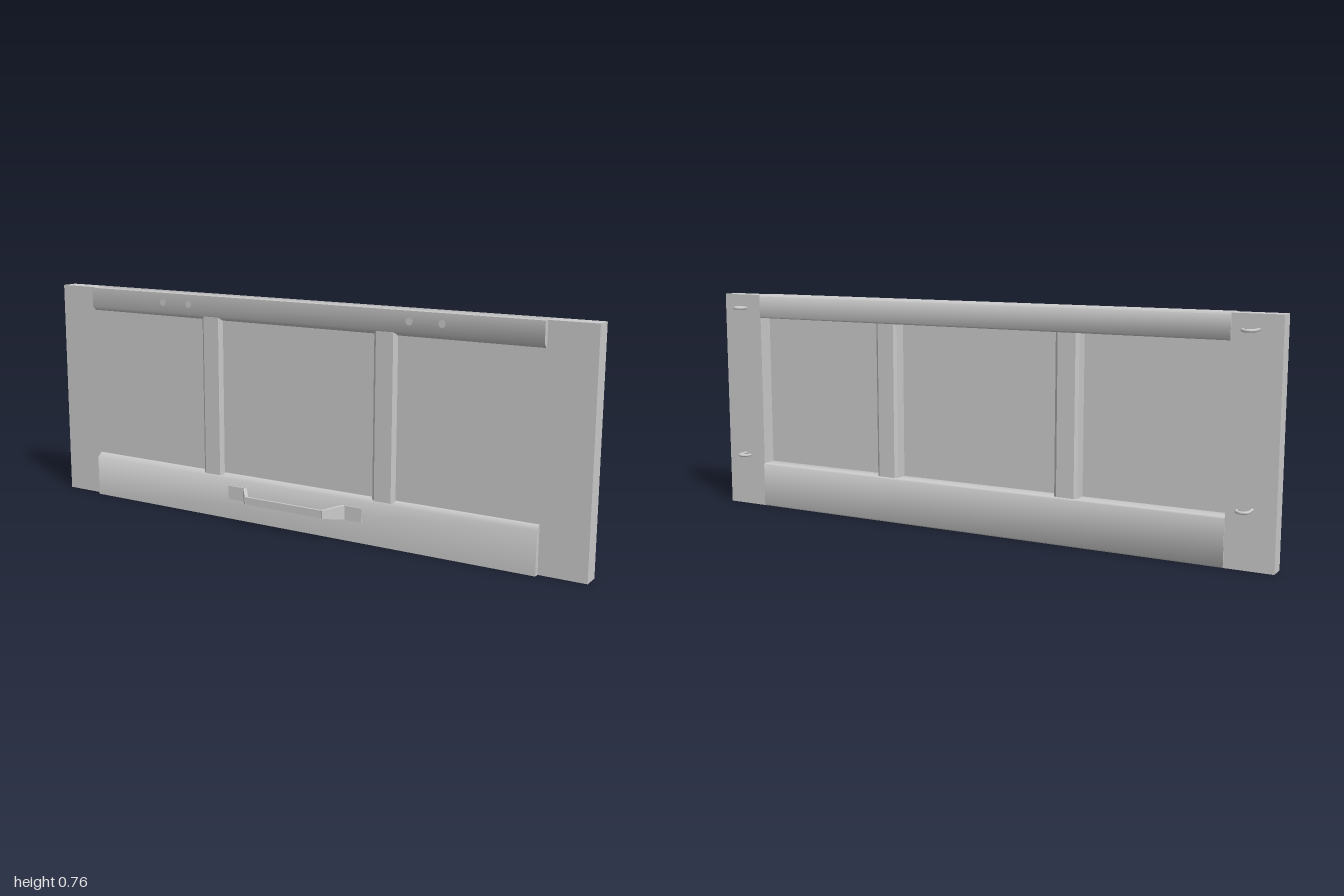
import * as THREE from 'three';
import { mergeVertices, toCreasedNormals } from 'three/addons/utils/BufferGeometryUtils.js';

const grey = new THREE.MeshStandardMaterial({ color: 0xcccccc });

function addMesh(parent, name, geometry) {
  const mesh = new THREE.Mesh(geometry, grey);
  mesh.name = name;
  parent.add(mesh);
  return mesh;
}

function box(x0, x1, y0, y1, z0, z1) {
  return new THREE.BoxGeometry(x1 - x0, y1 - y0, z1 - z0)
    .translate((x0 + x1) / 2, (y0 + y1) / 2, (z0 + z1) / 2);
}

function extrude(points, depth) {
  const shape = new THREE.Shape(points.map(([a, b]) => new THREE.Vector2(a, b)));
  return new THREE.ExtrudeGeometry(shape, { depth, bevelEnabled: false });
}

// Horizontal rail: (z, y) profile swept along x, softly shaded over its bevels
function rail(profile, halfWidth) {
  const g = extrude(profile, halfWidth * 2).translate(0, 0, -halfWidth).rotateY(-Math.PI / 2);
  g.deleteAttribute('uv');
  g.deleteAttribute('normal');
  return toCreasedNormals(mergeVertices(g), THREE.MathUtils.degToRad(60));
}

// One half of the handle: sections [x, z, yLow, yHigh, thickness in x, thickness in z]
function strap(sections) {
  const pos = [], index = [];
  sections.forEach(([x, z, y0, y1, dx, dz]) =>
    pos.push(x, y0, z, x, y1, z, x + dx, y1, z + dz, x + dx, y0, z + dz));
  for (let s = 0; s < sections.length - 1; s++) {
    for (let k = 0; k < 4; k++) {
      const a = s * 4 + k, b = s * 4 + (k + 1) % 4;
      index.push(a, a + 4, b, b, a + 4, b + 4);
    }
  }
  const e = (sections.length - 1) * 4;
  index.push(0, 1, 2, 0, 2, 3, e, e + 2, e + 1, e, e + 3, e + 2);
  let g = new THREE.BufferGeometry();
  g.setAttribute('position', new THREE.Float32BufferAttribute(pos, 3));
  g.setIndex(index);
  g = g.toNonIndexed();
  g.computeVertexNormals();
  return g;
}

export function createModel() {
  const model = new THREE.Group();
  model.name = 'panelledBoard';
  const H = 0.757, inner = 0.847;

  // Frame and thin infill panel
  addMesh(model, 'rightStile', box(-1, -inner, 0, H, -0.04, 0.018));
  addMesh(model, 'leftStile', box(inner, 1, 0, H, -0.04, 0.018));
  addMesh(model, 'panel', box(-inner, inner, 0.15, 0.68, 0.011, 0.018));

  addMesh(model, 'bottomRail', rail([
    [0.036, 0], [0.036, 0.14], [0.018, 0.155], [-0.04, 0.155],
    [-0.044, 0.15], [-0.044, 0.005], [-0.04, 0]], inner));
  addMesh(model, 'topRail', rail([
    [0.036, H], [-0.041, H], [-0.044, H - 0.004], [-0.044, 0.682],
    [-0.04, 0.677], [0.022, 0.677], [0.036, 0.691]], inner));

  // Bevelled upright bars dividing the panel
  for (const side of [-1, 1]) {
    const profile = [[-0.04, -0.024], [-0.03, -0.032], [0.03, -0.032], [0.04, -0.024],
      [0.04, 0.029], [0.03, 0.037], [-0.03, 0.037], [-0.04, 0.029]];
    const bar = extrude(profile, 0.545).rotateX(-Math.PI / 2).translate(side * 0.33, 0.146, 0);
    addMesh(model, side > 0 ? 'leftDivider' : 'rightDivider', bar);
  }

  // Pull handle with mounting plates, flared arms and a flat grip
  const handle = new THREE.Group();
  handle.name = 'handle';
  model.add(handle);
  const arm = strap([
    [0.188, 0.034, 0.07, 0.117, 0.012, 0.004],
    [0.142, 0.092, 0.08, 0.107, 0.008, 0.008]]);
  for (const side of [-1, 1]) {
    const name = side > 0 ? 'left' : 'right';
    const x = [0.19 * side, 0.26 * side].sort((a, b) => a - b);
    addMesh(handle, name + 'HandlePlate', box(x[0], x[1], 0.07, 0.117, 0.034, 0.04));
    const mesh = addMesh(handle, name + 'HandleArm', arm);
    mesh.material = new THREE.MeshStandardMaterial({ color: 0xcccccc, side: THREE.DoubleSide });
    mesh.scale.x = side;
  }
  addMesh(handle, 'handleGrip', box(-0.148, 0.148, 0.082, 0.107, 0.092, 0.1));

  // Hooks on the back, curling inwards
  for (const side of [-1, 1]) {
    for (const y of [0.186, 0.712]) {
      const reach = y > 0.5 ? 0 : 0.003;
      const path = new THREE.CurvePath();
      const pts = [[0.928, -0.035], [0.928, -0.075 + reach]];
      for (let i = 1; i <= 8; i++) {
        const a = (i / 8) * Math.PI;
        pts.push([0.909 + 0.019 * Math.cos(a), -0.075 + reach - 0.02 * Math.sin(a)]);
      }
      pts.push([0.889, -0.068]);
      const v = pts.map(([x, z]) => new THREE.Vector3(side * x, y, z));
      for (let i = 0; i < v.length - 1; i++) path.add(new THREE.LineCurve3(v[i], v[i + 1]));
      addMesh(model, 'hook', new THREE.TubeGeometry(path, 28, 0.005, 8, false));
      // Rounded hook tip
      addMesh(model, 'hookTip', new THREE.SphereGeometry(0.005, 8, 6)).position.copy(v[v.length - 1]);
    }
  }

  // Small flush plugs in the top rail
  for (const x of [-0.53, -0.42, 0.415, 0.525]) {
    const plug = new THREE.CylinderGeometry(0.012, 0.012, 0.004, 16).rotateX(Math.PI / 2);
    addMesh(model, 'railPlug', plug).position.set(x, 0.724, 0.0345);
  }
  return model;
}
